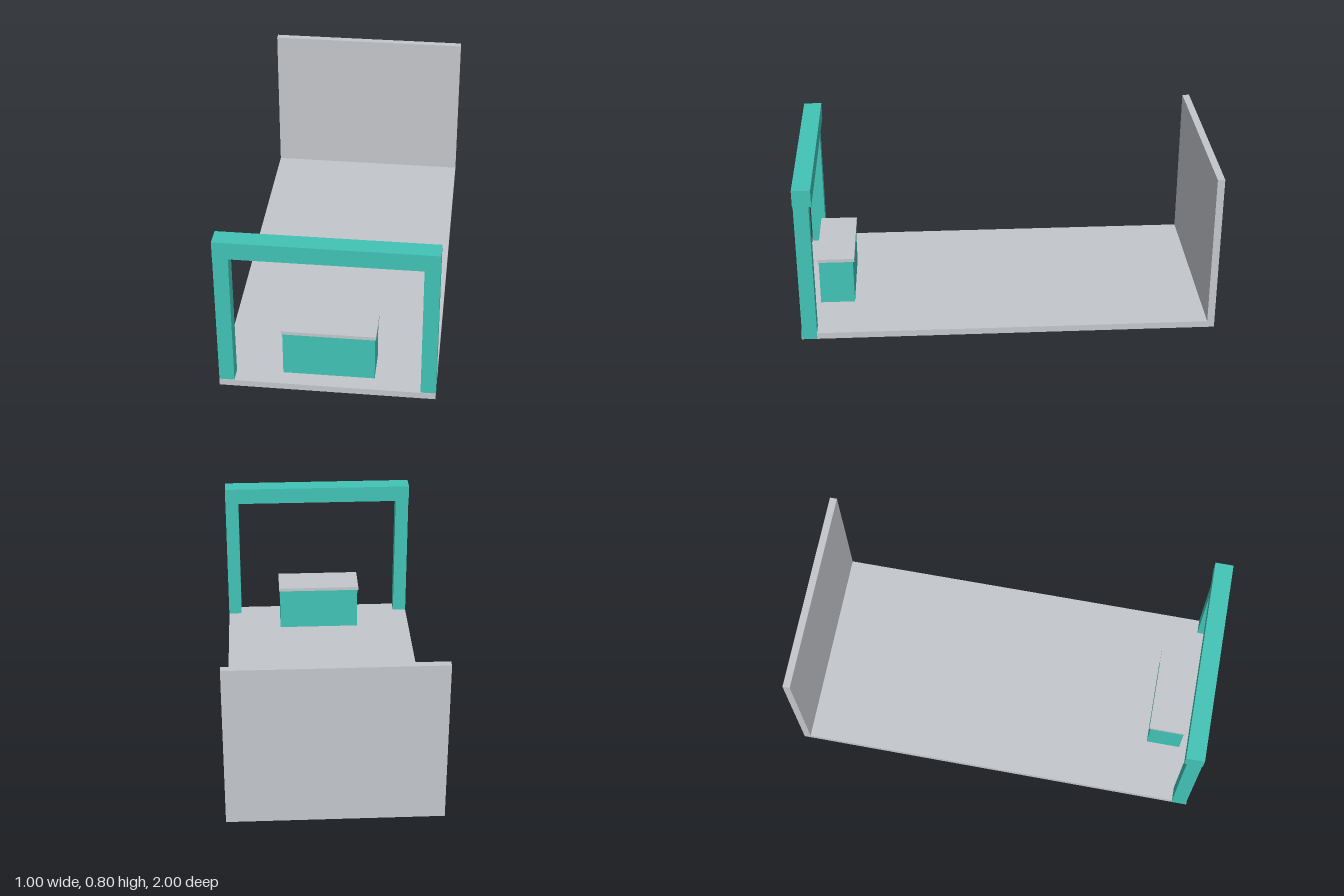
import * as THREE from 'three';

export function createModel() {
  const model = new THREE.Group();
  const teal = new THREE.MeshStandardMaterial({ color: 0x41c3b5 });
  teal.name = 'teal';
  const grey = new THREE.MeshStandardMaterial({ color: 0xc3c6cb });
  grey.name = 'light grey';

  // Box given by its minimum and maximum corners
  function box(name, material, [x0, y0, z0], [x1, y1, z1]) {
    const mesh = new THREE.Mesh(new THREE.BoxGeometry(x1 - x0, y1 - y0, z1 - z0), material);
    mesh.position.set((x0 + x1) / 2, (y0 + y1) / 2, (z0 + z1) / 2);
    mesh.name = name;
    model.add(mesh);
  }

  // Floor and back wall: one L-shaped profile, drawn as (-z, y) and extruded across x
  const halfWidth = 0.4995, bottom = 0.0005;
  const profile = new THREE.Shape([
    [-1, bottom], [1, bottom], [1, 0.8], [0.965, 0.8], [0.965, 0.032], [-1, 0.032],
  ].map(([x, y]) => new THREE.Vector2(x, y)));
  const shell = new THREE.ExtrudeGeometry(profile, { depth: 2 * halfWidth, bevelEnabled: false });
  shell.translate(0, 0, -halfWidth).rotateY(Math.PI / 2);
  const floor = new THREE.Mesh(shell, grey);
  floor.name = 'floorAndBackWall';
  model.add(floor);

  // Entrance frame: two posts, a hair proud of the floor's sides, under a beam
  box('leftPost', teal, [0.43, 0.001, 0.925], [0.5, 0.716, 0.997]);
  box('rightPost', teal, [-0.5, 0.001, 0.925], [-0.43, 0.716, 0.997]);
  box('entranceBeam', teal, [-0.5, 0.715, 0.912], [0.5, 0.8, 1]);

  // Counter with an overhanging top
  box('counter', teal, [-0.213, 0, 0.752], [0.213, 0.26, 0.92]);
  box('counterTop', grey, [-0.218, 0.26, 0.745], [0.218, 0.277, 0.927]);

  return model;
}
